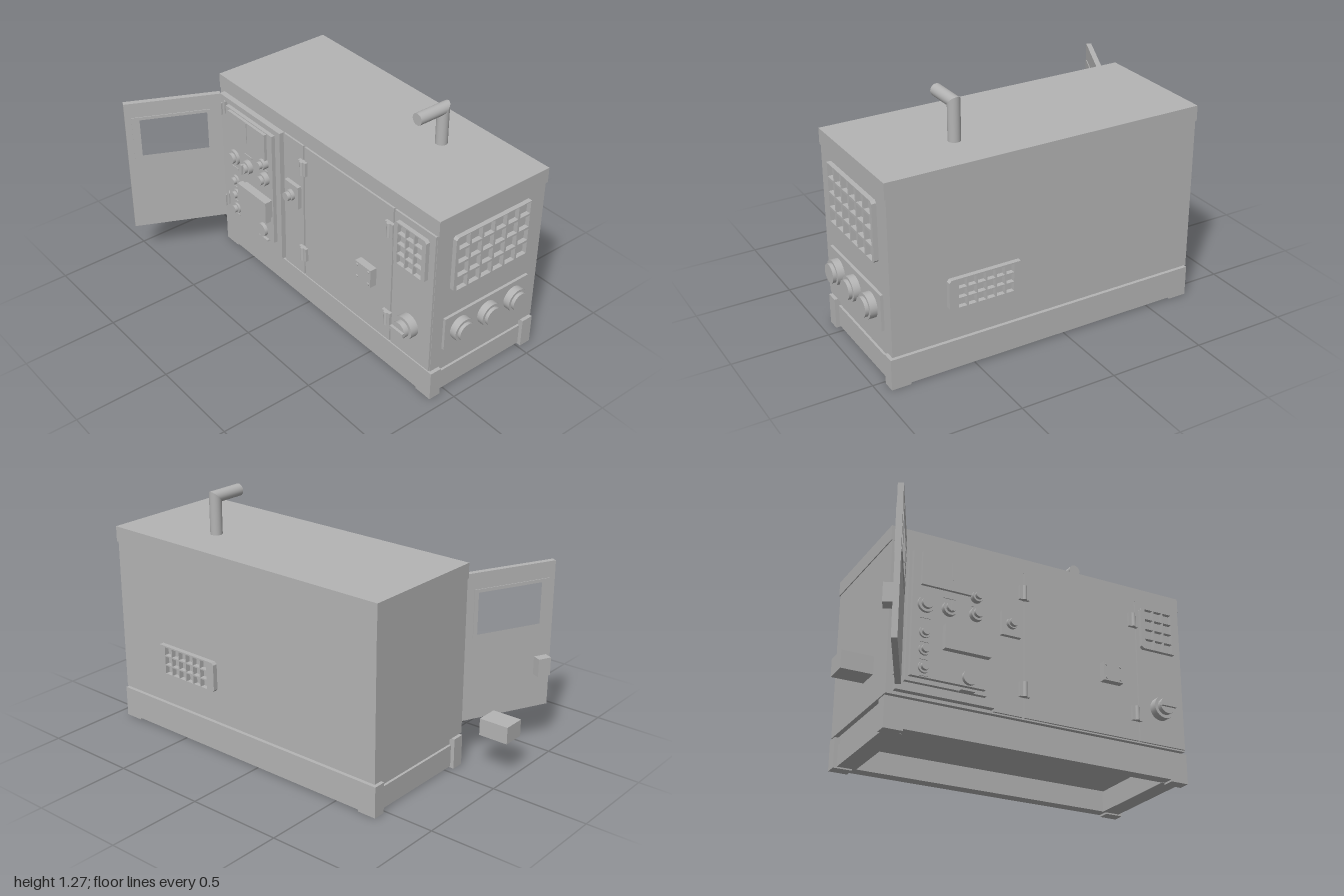
import * as THREE from 'three';

const paint = new THREE.MeshStandardMaterial({ color: 0xb4b4b4 });
paint.name = 'grey paint';

function add(parent, name, geometry, x = 0, y = 0, z = 0) {
  const mesh = new THREE.Mesh(geometry, paint);
  mesh.name = name;
  mesh.position.set(x, y, z);
  parent.add(mesh);
  return mesh;
}

// Box given by its limits on each axis
function box(parent, name, x0, x1, y0, y1, z0, z1) {
  return add(parent, name, new THREE.BoxGeometry(x1 - x0, y1 - y0, z1 - z0),
    (x0 + x1) / 2, (y0 + y1) / 2, (z0 + z1) / 2);
}

// Stepped round part facing +z; steps are [radius, zStart, zEnd]
function dial(parent, name, x, y, steps) {
  const group = new THREE.Group();
  group.name = name;
  group.position.set(x, y, 0);
  for (const [r, z0, z1] of steps) {
    const g = new THREE.CylinderGeometry(r, r, z1 - z0, 28).rotateX(Math.PI / 2);
    add(group, name + 'Step', g, 0, 0, (z0 + z1) / 2);
  }
  parent.add(group);
  return group;
}

function rectPath(x0, x1, y0, y1, Kind = THREE.Path) {
  const p = new Kind();
  p.moveTo(x0, y0);
  p.lineTo(x0, y1);
  p.lineTo(x1, y1);
  p.lineTo(x1, y0);
  p.closePath();
  return p;
}

// Flat frame around a rectangular opening, extruded along +z
function frame(outer, inner, depth) {
  const shape = rectPath(...outer, THREE.Shape);
  shape.holes.push(rectPath(...inner));
  return new THREE.ExtrudeGeometry(shape, { depth, bevelEnabled: false });
}

// Grille with clipped corners and a grid of square openings, centred, facing +z
function grille(w, h, cols, rows, cell, pitch, depth) {
  const c = 0.012, a = w / 2, b = h / 2;
  const shape = new THREE.Shape([
    [-a + c, -b], [a - c, -b], [a, -b + c], [a, b - c],
    [a - c, b], [-a + c, b], [-a, b - c], [-a, -b + c],
  ].map(([x, y]) => new THREE.Vector2(x, y)));
  for (let i = 0; i < cols; i++) {
    for (let j = 0; j < rows; j++) {
      const x = (i - (cols - 1) / 2) * pitch, y = (j - (rows - 1) / 2) * pitch;
      shape.holes.push(rectPath(x - cell / 2, x + cell / 2, y - cell / 2, y + cell / 2));
    }
  }
  return new THREE.ExtrudeGeometry(shape, { depth, bevelEnabled: false });
}

function buildHousing(g) {
  box(g, 'housing', -0.735, 0.93, 0.172, 0.975, -0.578, 0.104);
  box(g, 'roof', -0.74, 0.938, 0.972, 1.052, -0.582, 0.105);
  box(g, 'plinth', -0.71, 0.91, 0.125, 0.175, -0.55, 0.075);
  // Skid base: two long rails, two end beams, low feet
  for (const [z0, z1] of [[0.04, 0.105], [-0.58, -0.515]]) {
    box(g, 'baseRail', -0.74, 0.94, 0.01, 0.16, z0, z1);
    for (const x of [-0.74, 0.84]) box(g, 'foot', x, x + 0.1, 0, 0.01, z0, z1);
  }
  for (const x of [-0.72, 0.82]) box(g, 'endBeam', x, x + 0.1, 0.008, 0.122, -0.52, 0.045);
  // Mitred exhaust: each pipe end is sheared to 45 degrees at the elbow
  const r = 0.031, elbowY = 1.242, elbowZ = -0.341;
  const up = new THREE.CylinderGeometry(r, r, elbowY - 1.04, 28).translate(0, (1.04 + elbowY) / 2, 0);
  const out = new THREE.CylinderGeometry(r, r, 0.165, 28).rotateX(Math.PI / 2).translate(0, 0, 0.0825);
  const pu = up.attributes.position, po = out.attributes.position;
  for (let i = 0; i < pu.count; i++) if (pu.getY(i) > 1.2) pu.setY(i, elbowY - pu.getZ(i));
  for (let i = 0; i < po.count; i++) if (po.getZ(i) < 0.01) po.setZ(i, -po.getY(i));
  add(g, 'exhaustRiser', up, 0.465, 0, elbowZ);
  add(g, 'exhaustOutlet', out, 0.465, elbowY, elbowZ);
}

function buildFront(g) {
  // Skin panels with narrow seams
  box(g, 'middlePanel', -0.18, -0.024, 0.18, 0.968, 0.1, 0.114);
  box(g, 'frontDoor', -0.012, 0.646, 0.18, 0.968, 0.1, 0.114);
  box(g, 'rightPanel', 0.656, 0.928, 0.18, 0.968, 0.1, 0.114);
  for (const x of [-0.018, 0.632]) {
    for (const y of [0.322, 0.848]) {
      box(g, 'hingeLeaf', x - 0.028, x + 0.028, y - 0.039, y + 0.039, 0.11, 0.13);
      add(g, 'hingePin', new THREE.CylinderGeometry(0.012, 0.012, 0.078, 16), x, y, 0.128);
    }
  }
  // Latch
  box(g, 'latchPlate', -0.15, -0.042, 0.588, 0.718, 0.11, 0.136);
  dial(g, 'latchKnob', -0.096, 0.654, [[0.03, 0.13, 0.155], [0.024, 0.15, 0.175]]);
  // Small cover with four screws
  box(g, 'coverPlate', 0.426, 0.54, 0.458, 0.56, 0.11, 0.152);
  for (const x of [0.442, 0.524]) for (const y of [0.474, 0.544])
    dial(g, 'screw', x, y, [[0.008, 0.15, 0.158]]);
  // Vent and rotary switch
  add(g, 'frontVent', grille(0.215, 0.235, 3, 4, 0.051, 0.0665 * 0.86, 0.024), 0.783, 0.812, 0.112);
  dial(g, 'rotarySwitch', 0.785, 0.375, [[0.061, 0.11, 0.158], [0.044, 0.15, 0.186]]);
  box(g, 'switchGrip', 0.741, 0.829, 0.365, 0.385, 0.18, 0.2);
}

function buildControls(g) {
  add(g, 'controlFrame', frame([-0.7, -0.187, 0.188, 0.965], [-0.662, -0.215, 0.23, 0.94], 0.035), 0, 0, 0.1);
  box(g, 'controlBacking', -0.65, -0.225, 0.245, 0.935, 0.1, 0.125);
  box(g, 'controlPanel', -0.635, -0.24, 0.267, 0.925, 0.12, 0.146);
  // Display with a fine divider
  box(g, 'display', -0.595, -0.282, 0.742, 0.92, 0.14, 0.162);
  box(g, 'displayDivider', -0.437, -0.431, 0.8, 0.92, 0.16, 0.166);
  // Lower switch box
  box(g, 'breakerBase', -0.47, -0.25, 0.43, 0.535, 0.14, 0.17);
  box(g, 'breakerBox', -0.482, -0.238, 0.416, 0.543, 0.165, 0.198);
  // Knobs: x, y, radius, front z
  const knobs = [
    [-0.3, 0.742, 0.03, 0.195], [-0.3, 0.648, 0.036, 0.192],
    [-0.445, 0.645, 0.038, 0.19], [-0.567, 0.643, 0.043, 0.18],
    [-0.567, 0.497, 0.03, 0.175], [-0.567, 0.407, 0.03, 0.175], [-0.567, 0.316, 0.03, 0.175],
  ];
  for (const [x, y, r, z] of knobs)
    dial(g, 'knob', x, y, [[r, 0.14, z - 0.018], [r * 0.68, z - 0.02, z]]);
  box(g, 'selectorGrip', -0.452, -0.438, 0.617, 0.673, 0.185, 0.199);
  dial(g, 'pushButton', -0.33, 0.31, [[0.038, 0.14, 0.165]]);
  // Blank label strips
  for (const [x, y, w] of [[-0.445, 0.707, 0.066], [-0.567, 0.575, 0.056], [-0.335, 0.248, 0.076],
    [-0.567, 0.45, 0.046], [-0.567, 0.36, 0.046], [-0.567, 0.277, 0.046], [-0.3, 0.695, 0.046]])
    box(g, 'labelStrip', x - w / 2, x + w / 2, y - 0.005, y + 0.005, 0.12, 0.15);
}

function buildSideAndBack(g) {
  // Right end, built facing +z and turned to face +x
  const end = new THREE.Group();
  end.name = 'endFittings';
  end.rotation.y = Math.PI / 2;
  add(end, 'endVent', grille(0.49, 0.306, 6, 4, 0.066, 0.0775, 0.026), 0.236, 0.772, 0.928);
  box(end, 'socketPlate', -0.037, 0.508, 0.28, 0.466, 0.925, 0.945);
  for (const x of [0.06, 0.237, 0.413]) {
    dial(end, 'socket', x, 0.375, [[0.063, 0.94, 0.982], [0.049, 0.975, 1.0]]);
  }
  g.add(end);
  // Back vent
  const back = add(g, 'backVent', grille(0.39, 0.158, 6, 3, 0.043, 0.05, 0.026), 0.45, 0.418, -0.577);
  back.rotation.y = Math.PI;
  back.geometry.scale(1.0, 1.0, 1.0);
}

function buildOpenDoor(g) {
  // Local x runs from the hinge to the free edge; local +z is the outside
  const door = new THREE.Group();
  door.name = 'openDoor';
  door.position.set(-0.69, 0, 0.14);
  door.rotation.y = Math.atan2(-0.902, -0.431);
  add(door, 'doorPanel', frame([0, 0.502, 0.21, 0.976], [0.065, 0.437, 0.655, 0.88], 0.028), 0, 0, -0.014);
  add(door, 'windowTrim', frame([0.053, 0.468, 0.643, 0.892], [0.075, 0.427, 0.66, 0.875], 0.036), 0, 0, -0.018);
  box(door, 'doorHandle', 0.41, 0.48, 0.39, 0.485, 0.012, 0.06);
  g.add(door);
  for (const y of [0.3, 0.88]) box(g, 'doorHinge', -0.705, -0.68, y - 0.035, y + 0.035, 0.1, 0.145);
  // Separate block beside the door
  box(g, 'sideBlock', -1.0, -0.843, 0.197, 0.285, 0.097, 0.215);
}

export function createModel() {
  const model = new THREE.Group();
  model.name = 'generator';
  buildHousing(model);
  buildFront(model);
  buildControls(model);
  buildSideAndBack(model);
  buildOpenDoor(model);
  return model;
}
